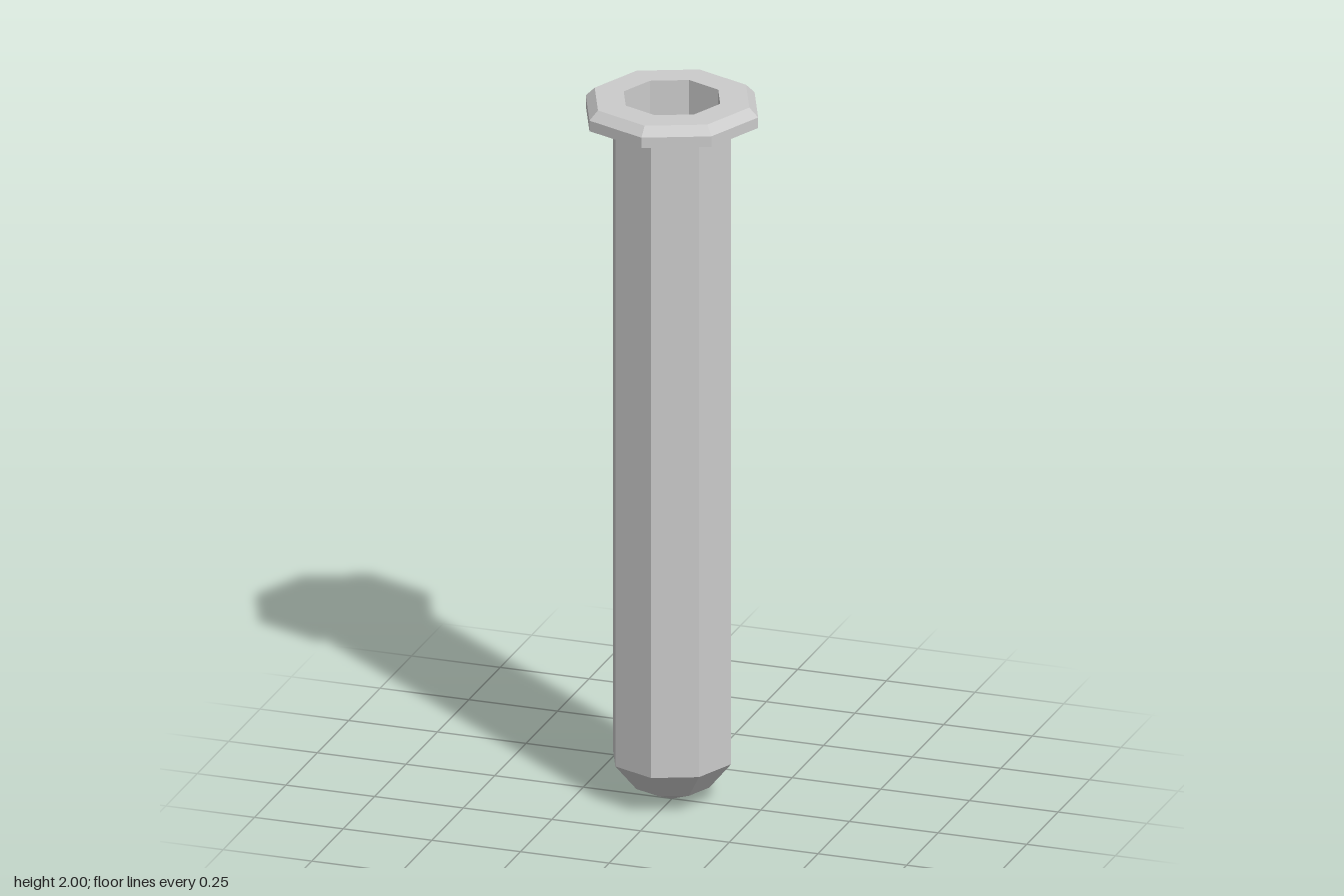
import * as THREE from 'three';

const SIDES = 8;
const material = new THREE.MeshStandardMaterial({ color: 0xcccccc, flatShading: true });

// Revolve a profile of [radius, height] pairs into an eight-sided part.
// Profiles running upward face outward, those running downward face inward.
function turned(name, profile) {
  const points = profile.map(([r, y]) => new THREE.Vector2(r, y));
  const mesh = new THREE.Mesh(new THREE.LatheGeometry(points, SIDES), material);
  mesh.name = name;
  return mesh;
}

export function createModel() {
  const bodyR = 0.167, boreR = 0.136, lipR = 0.243, lipTopR = 0.218;
  const shoulderY = 0.12, neckY = 1.92, topY = 2, floorY = 0.12;

  const group = new THREE.Group();
  group.name = 'testTube';
  group.add(
    // Faceted rounded bottom
    turned('roundedBottom', [[0, 0], [0.105, 0.045], [bodyR, shoulderY]]),
    // Straight outer wall
    turned('tubeWall', [[bodyR, shoulderY], [bodyR, neckY]]),
    // Bevelled lip with its flat top ring
    turned('lip', [[bodyR, neckY], [lipR, 1.945], [lipR, 1.975], [lipTopR, topY], [boreR, topY]]),
    // Hollow inside with a flat floor
    turned('bore', [[boreR, topY], [boreR, floorY], [0, floorY]])
  );
  return group;
}
